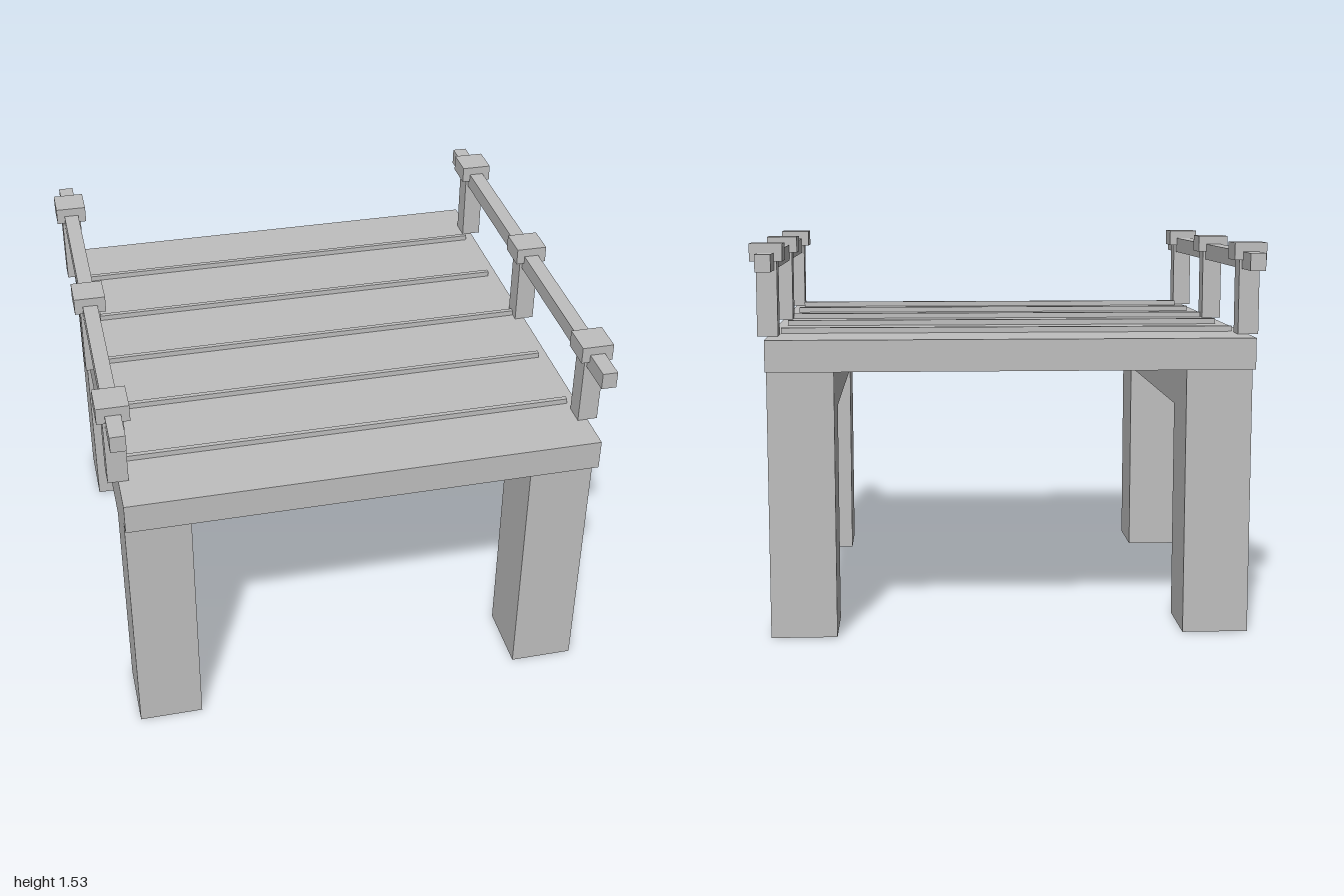
import * as THREE from 'three';

export function createModel() {
  const model = new THREE.Group();
  model.name = 'raisedDeck';
  const grey = new THREE.MeshStandardMaterial({ color: 0xbfbfbf });
  grey.name = 'plain grey';

  // Box with its base at y0 and its top at y1
  const box = (name, w, d, y0, y1, x, z) => {
    const mesh = new THREE.Mesh(new THREE.BoxGeometry(w, y1 - y0, d), grey);
    mesh.position.set(x, (y0 + y1) / 2, z);
    mesh.name = name;
    model.add(mesh);
  };

  // Platform and the thin battens across it
  box('deck', 1.874, 1.97, 1.05, 1.172, 0, 0);
  for (let i = -2; i <= 2; i++) box('batten', 1.79, 0.019, 1.172, 1.194, 0, i * 0.347);

  for (const [side, s] of [['left', 1], ['right', -1]]) {
    // Side beam resting on two square legs
    box(side + 'Beam', 0.257, 1.85, 0.875, 1.05, s * 0.8085, 0);
    for (const [end, e] of [['Front', 1], ['Back', -1]])
      box(side + end + 'Leg', 0.257, 0.286, 0, 0.875, s * 0.8085, e * 0.782);

    // Handrail with three capped posts
    box(side + 'Rail', 0.06, 1.97, 1.428, 1.495, s * 0.937, 0);
    for (const z of [-0.783, 0, 0.783]) {
      box(side + 'Post', 0.08, 0.086, 1.172, 1.462, s * 0.937, z);
      box(side + 'PostCap', 0.126, 0.132, 1.462, 1.53, s * 0.937, z);
    }
  }
  return model;
}
